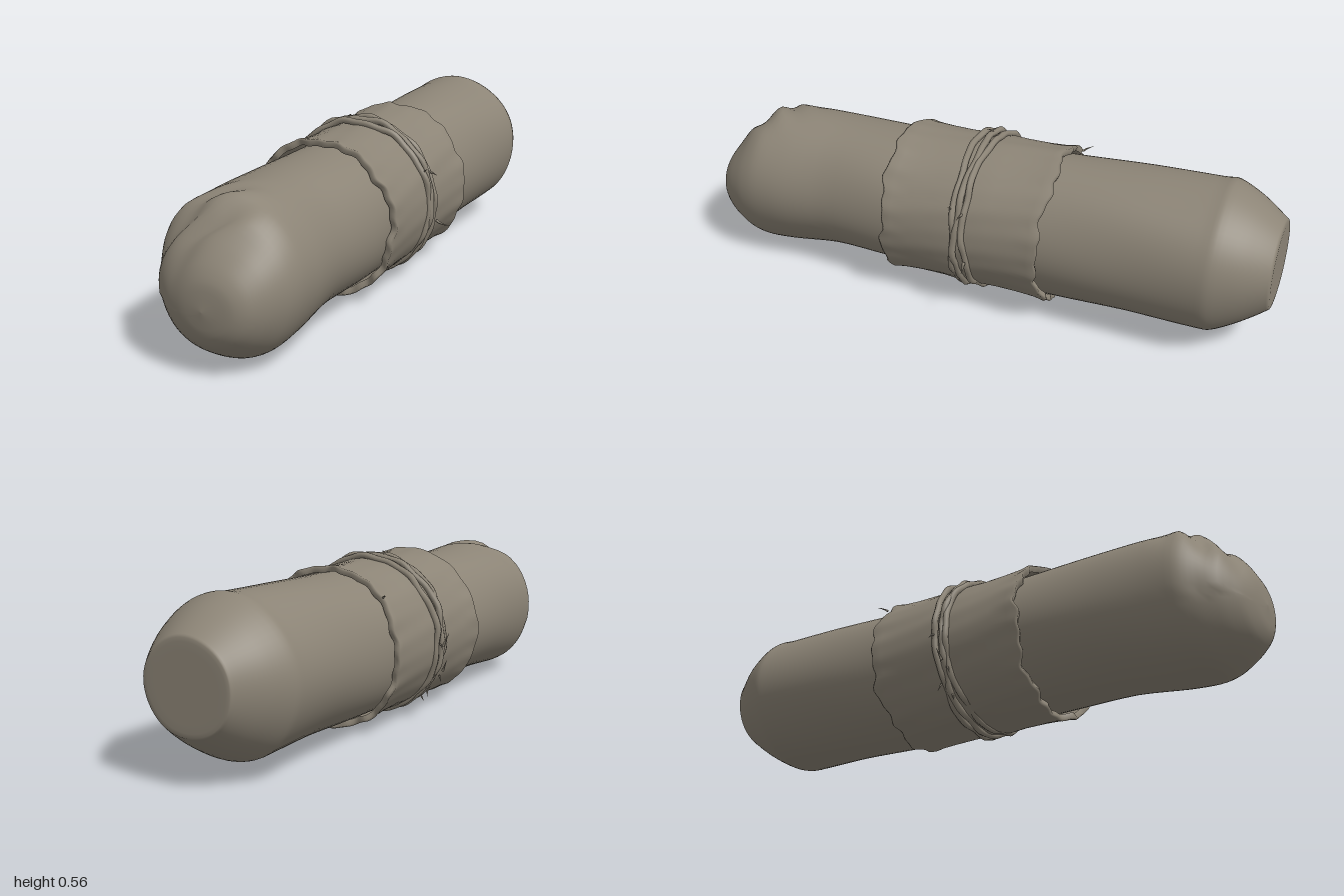
import * as THREE from 'three';

const TAU = Math.PI * 2;
const CX = -0.012, CY = 0.277;

// Smooth, repeatable ripple around the roll (periodic in a)
const ripple = (a, s) =>
  (Math.sin(3 * a + s) + Math.sin(7 * a + 2.3 * s) + 0.8 * Math.sin(13 * a + 4.1 * s) + 0.6 * Math.sin(23 * a + s * s)) / 3.4;

// Skin a closed-round surface: point(row, angle) gives [x, y, z], rows run towards +z
function skin(rows, sides, point) {
  const pos = [], index = [];
  for (let i = 0; i < rows; i++)
    for (let j = 0; j < sides; j++) pos.push(...point(i, (j / sides) * TAU));
  for (let i = 0; i < rows - 1; i++)
    for (let j = 0; j < sides; j++) {
      const k = (j + 1) % sides;
      const a = i * sides + j, b = i * sides + k, c = a + sides, d = b + sides;
      index.push(a, b, d, a, d, c);
    }
  const g = new THREE.BufferGeometry();
  g.setAttribute('position', new THREE.Float32BufferAttribute(pos, 3));
  g.setIndex(index);
  g.computeVertexNormals();
  return g;
}

// Rolled body: [z, left x, right x, bottom y, top y]
function bodyGeometry() {
  const stations = [
    [-1, -0.015, -0.015, 0.30, 0.30], [-1, -0.15, 0.12, 0.17, 0.43],
    [-0.985, -0.17, 0.145, 0.145, 0.455], [-0.91, -0.222, 0.192, 0.09, 0.505],
    [-0.83, -0.258, 0.226, 0.045, 0.541], [-0.77, -0.26, 0.23, 0.042, 0.536],
    [-0.55, -0.252, 0.225, 0.042, 0.528], [-0.3, -0.248, 0.222, 0.032, 0.516],
    [0, -0.245, 0.22, 0.03, 0.51], [0.3, -0.25, 0.225, 0.034, 0.503],
    [0.53, -0.25, 0.212, 0.033, 0.5], [0.7, -0.248, 0.228, 0.018, 0.504],
    [0.8, -0.246, 0.23, 0.012, 0.503], [0.86, -0.222, 0.218, 0.025, 0.465],
    [0.92, -0.18, 0.188, 0.06, 0.405], [0.965, -0.125, 0.15, 0.1, 0.345],
    [0.988, -0.06, 0.105, 0.145, 0.295], [0.997, 0.015, 0.015, 0.22, 0.22],
  ];
  const curve = (a, b) => new THREE.CatmullRomCurve3(
    stations.map(s => new THREE.Vector3(s[0], s[a], s[b])), false, 'catmullrom', 0.4);
  const xs = curve(1, 2), ys = curve(3, 4), rows = (stations.length - 1) * 4 + 1;
  const rings = Array.from({ length: rows }, (_, i) =>
    [xs.getPoint(i / (rows - 1)), ys.getPoint(i / (rows - 1))]);
  return skin(rows, 64, (i, a) => {
    const [h, v] = rings[i];
    const z = THREE.MathUtils.clamp(h.x, -1, 1);
    // gentle unevenness along the cloth
    const wave = 1 + 0.008 * Math.sin(2 * a + z * 5) + 0.006 * Math.sin(5 * a - z * 7);
    let x = (h.y + h.z) / 2 + ((h.z - h.y) / 2) * Math.cos(a) * wave;
    let y = (v.y + v.z) / 2 + ((v.z - v.y) / 2) * Math.sin(a) * wave;
    // crumpled dents on the upper front end
    if (y > 0.2 && z > 0.6) {
      const d = Math.hypot((x + 0.06) / 0.13, (z - 0.86) / 0.11);
      const fold = Math.exp(-d * d);
      y -= fold * (0.02 + 0.014 * Math.sin(x * 38 + z * 45));
      x += fold * 0.012 * Math.sin(z * 60);
    }
    return [x, Math.max(y, 0.008), z];
  });
}

// Wrapped band with ragged, slightly lifted hems
function bandGeometry() {
  // [z, radius, hem amount]
  const rows = [[-0.275, 0.245, 1], [-0.282, 0.26, 1], [-0.275, 0.266, 1], [-0.245, 0.261, 0.5],
    [-0.18, 0.258, 0], [-0.1, 0.257, 0], [-0.05, 0.259, 0], [0, 0.258, 0], [0.05, 0.259, 0],
    [0.1, 0.256, 0], [0.18, 0.257, 0], [0.245, 0.26, 0.5], [0.275, 0.265, 1], [0.284, 0.26, 1], [0.275, 0.242, 1]];
  return skin(rows.length, 160, (i, a) => {
    const [z, r, hem] = rows[i], s = z < 0 ? 1.7 : 4.2;
    const R = r + 0.0035 * ripple(a, 2 + z * 3) + hem * 0.005 * ripple(a, s + 1);
    const cy = z < 0 ? 0.275 : 0.271;
    return [CX + R * Math.cos(a), Math.max(cy + R * Math.sin(a), 0.006), z + hem * 0.02 * ripple(a, s)];
  });
}

// One strand of cord wound round the middle
class StrandCurve extends THREE.Curve {
  constructor(z, r, s) { super(); Object.assign(this, { z, r, s }); }
  getPoint(t, out = new THREE.Vector3()) {
    const a = t * TAU;
    const r = this.r + 0.003 * Math.sin(9 * a + this.s) + 0.002 * Math.sin(17 * a + this.s * 2);
    return out.set(CX + r * Math.cos(a), CY + 0.001 + r * Math.sin(a),
      this.z + 0.008 * Math.sin(2 * a + this.s) + 0.004 * Math.sin(7 * a + this.s));
  }
}

// Tapered loose fibre bending from one point to another
function fibreGeometry(from, to, bend, radius) {
  const a = new THREE.Vector3(...from), b = new THREE.Vector3(...to);
  const mid = a.clone().lerp(b, 0.5).add(new THREE.Vector3(0, bend, 0));
  const curve = new THREE.QuadraticBezierCurve3(a, mid, b);
  const g = new THREE.TubeGeometry(curve, 6, radius, 5), p = g.attributes.position;
  for (let i = 0; i < p.count; i++) {
    const t = Math.floor(i / 6) / 6, c = curve.getPointAt(t), v = new THREE.Vector3().fromBufferAttribute(p, i);
    v.lerp(c, t * 0.95);
    p.setXYZ(i, v.x, v.y, v.z);
  }
  return g;
}

export function createModel() {
  const model = new THREE.Group();
  model.name = 'bedroll';
  const cloth = new THREE.MeshStandardMaterial({ color: 0x8c8476, side: THREE.DoubleSide });
  cloth.name = 'drab cloth';
  const add = (name, geometry, parent = model) => {
    const mesh = new THREE.Mesh(geometry, cloth);
    mesh.name = name;
    parent.add(mesh);
  };

  add('rolledBody', bodyGeometry());
  add('wrappedBand', bandGeometry());

  // Cord: three uneven windings
  const cord = new THREE.Group();
  cord.name = 'cord';
  model.add(cord);
  [[-0.026, 0.262, 0.5], [0.002, 0.264, 2.4], [0.024, 0.261, 4.4]].forEach(([z, r, s], i) =>
    add('cordWinding' + (i + 1), new THREE.TubeGeometry(new StrandCurve(z, r, s), 110, 0.0115, 7, true), cord));

  // Frayed fibres on the cord and hems
  const fibres = new THREE.Group();
  fibres.name = 'looseFibres';
  model.add(fibres);
  [
    [[0.255, 0.215, -0.03], [0.3, 0.2, -0.04], -0.01, 0.006],
    [[0.225, 0.385, -0.02], [0.265, 0.378, -0.01], 0.004, 0.006],
    [[0.225, 0.39, 0.02], [0.248, 0.408, 0.03], 0, 0.004],
    [[-0.283, 0.255, 0.0], [-0.3, 0.3, 0.01], 0, 0.005],
    [[-0.283, 0.265, -0.02], [-0.298, 0.25, -0.03], 0.01, 0.004],
    [[-0.278, 0.17, 0.01], [-0.298, 0.21, 0.0], 0, 0.005],
    [[-0.26, 0.15, 0.02], [-0.262, 0.125, 0.03], 0, 0.004],
    [[-0.235, 0.11, -0.02], [-0.243, 0.082, -0.03], 0, 0.004],
    [[-0.2, 0.08, 0.0], [-0.208, 0.055, 0.01], 0, 0.004],
    [[-0.21, 0.455, -0.27], [-0.237, 0.465, -0.3], 0.005, 0.004],
    [[-0.06, 0.545, 0.0], [-0.042, 0.558, 0.015], 0.006, 0.004],
  ].forEach((f, i) => add('fibre' + (i + 1), fibreGeometry(...f), fibres));

  return model;
}
